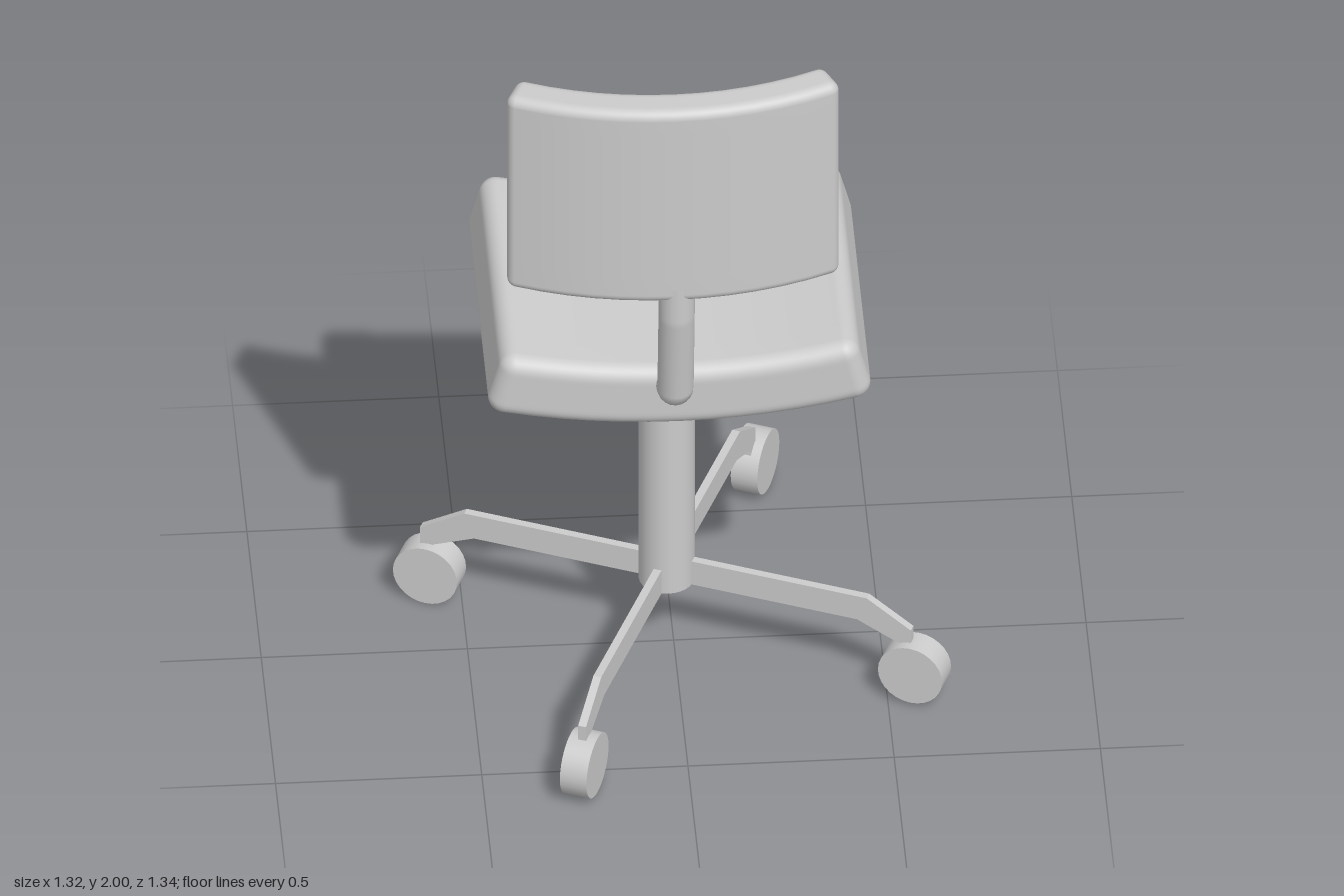
import * as THREE from 'three';
import { mergeVertices, toCreasedNormals } from 'three/addons/utils/BufferGeometryUtils.js';

const grey = new THREE.MeshStandardMaterial({ color: 0xcccccc });

function addMesh(parent, name, geometry) {
  const mesh = new THREE.Mesh(geometry, grey);
  mesh.name = name;
  parent.add(mesh);
  return mesh;
}

// Rounded slab whose width (x) is bent around an axis along z, ends curling up
function bentCushion(width, thickness, depth, radius, bendRadius) {
  const n = 20;
  const half = [width / 2, thickness / 2, depth / 2];
  let geo = new THREE.BoxGeometry(2, 2, 2, n, n, n);
  geo.deleteAttribute('normal');
  geo.deleteAttribute('uv');
  geo = mergeVertices(geo);
  const pos = geo.attributes.position;
  const inner = new THREE.Vector3();
  const out = new THREE.Vector3();
  for (let i = 0; i < pos.count; i++) {
    for (let k = 0; k < 3; k++) {
      // the outer 40% of the grid serves the rounded rim
      const u = pos.getComponent(i, k);
      const flat = half[k] - radius;
      const t = Math.abs(u);
      const rim = Math.max(0, (t - 0.6) / 0.4);
      inner.setComponent(k, Math.sign(u) * Math.min(t / 0.6, 1) * flat);
      out.setComponent(k, Math.sign(u) * Math.tan(rim * Math.PI / 4));
    }
    const p = inner.add(out.normalize().multiplyScalar(radius));
    const angle = p.x / bendRadius;
    const r = bendRadius - p.y;
    pos.setXYZ(i, r * Math.sin(angle), bendRadius - r * Math.cos(angle), p.z);
  }
  geo.computeVertexNormals();
  return geo;
}

export function createModel() {
  const chair = new THREE.Group();
  chair.name = 'officeChair';

  // Seat, curling up at both sides
  const seat = addMesh(chair, 'seat', bentCushion(0.91, 0.175, 0.75, 0.04, 1.75));
  seat.position.set(-0.01, 1.035, 0.005);
  seat.rotation.x = 0.015;

  // Backrest, the same kind of cushion standing upright
  const back = addMesh(chair, 'backrest', bentCushion(0.805, 0.095, 0.58, 0.025, 0.92));
  back.position.set(-0.03, 1.71, 0.46);
  back.rotation.x = -Math.PI / 2;

  // Bent post joining seat and backrest
  const bends = [[1.04, 0.32], [1.1, 0.425], [1.36, 0.465], [1.46, 0.465]]
    .map(([y, z]) => new THREE.Vector3(-0.025, y, z));
  const path = new THREE.CurvePath();
  for (let i = 1; i < bends.length; i++) path.add(new THREE.LineCurve3(bends[i - 1], bends[i]));
  addMesh(chair, 'backPost', new THREE.TubeGeometry(path, 30, 0.044, 20));

  // Central column
  const column = addMesh(chair, 'column', new THREE.CylinderGeometry(0.068, 0.068, 0.77, 28));
  column.position.set(-0.018, 0.595, 0.018);

  // Four flat legs, each ending in a stub that holds a wheel
  const profile = new THREE.Shape([
    [0, 0.21], [0.49, 0.21], [0.595, 0.165], [0.595, 0.1],
    [0.628, 0.1], [0.628, 0.21], [0.515, 0.28], [0, 0.28],
  ].map(([x, y]) => new THREE.Vector2(x, y)));
  const legGeo = toCreasedNormals(
    new THREE.ExtrudeGeometry(profile, { depth: 0.02, bevelEnabled: false }).translate(0, 0, -0.01), 0.5);
  const wheelGeo = new THREE.CylinderGeometry(0.082, 0.082, 0.068, 28).rotateX(Math.PI / 2);
  const wheelReach = [0.655, 0.607, 0.612, 0.634];
  const wheelHeight = [0.092, 0.083, 0.088, 0.091];
  wheelReach.forEach((reach, i) => {
    const leg = new THREE.Group();
    leg.name = `leg${i + 1}`;
    leg.position.set(-0.018, 0, 0.018);
    leg.rotation.y = THREE.MathUtils.degToRad(67 + 90 * i);
    addMesh(leg, 'legBar', legGeo);
    addMesh(leg, 'wheel', wheelGeo).position.set(reach, wheelHeight[i], 0);
    chair.add(leg);
  });

  return chair;
}
